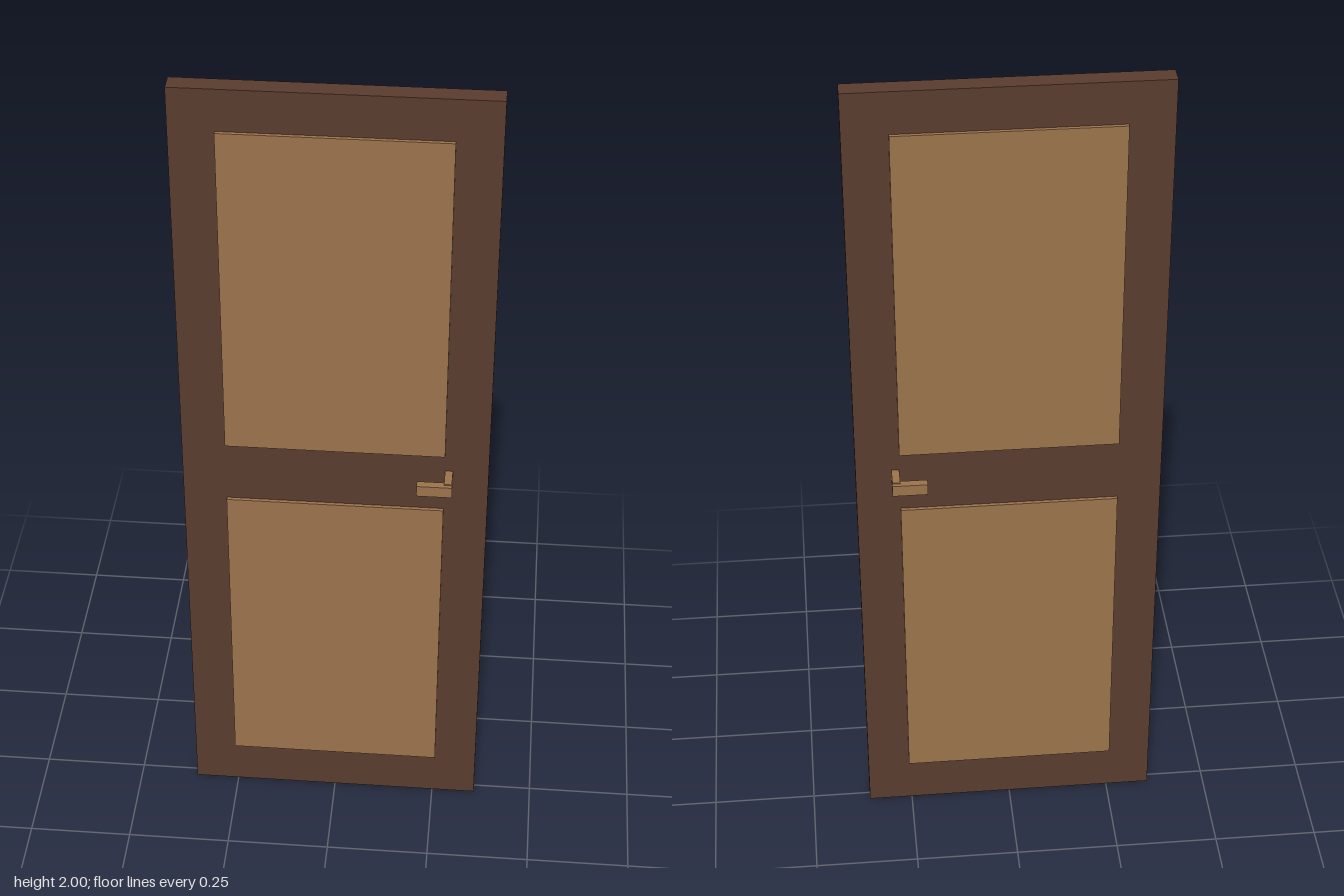
import * as THREE from 'three';

export function createModel() {
  const door = new THREE.Group();
  door.name = 'door';

  const darkWood = new THREE.MeshStandardMaterial({ color: 0x593c2e });
  darkWood.name = 'darkWood';
  const lightWood = new THREE.MeshStandardMaterial({ color: 0x9b734c });
  lightWood.name = 'lightWood';

  // Box given by its lower and upper limits on each axis
  function box(name, material, [x0, x1], [y0, y1], [z0, z1], parent) {
    const mesh = new THREE.Mesh(new THREE.BoxGeometry(x1 - x0, y1 - y0, z1 - z0), material);
    mesh.position.set((x0 + x1) / 2, (y0 + y1) / 2, (z0 + z1) / 2);
    mesh.name = name;
    parent.add(mesh);
  }

  // Door slab
  box('slab', darkWood, [-0.357, 0.357], [0, 2], [-0.023, 0.023], door);

  // Raised panels, standing proud on both faces
  box('lowerPanel', lightWood, [-0.255, 0.255], [0.12, 0.92], [-0.032, 0.032], door);
  box('upperPanel', lightWood, [-0.255, 0.255], [1.077, 1.9], [-0.032, 0.032], door);

  // Lever handle on each face: a stem out of the slab and a bar turned inwards
  for (const [name, side] of [['frontHandle', 1], ['backHandle', -1]]) {
    const handle = new THREE.Group();
    handle.name = name;
    const depth = (a, b) => (side > 0 ? [a, b] : [-b, -a]);
    box('stem', lightWood, [0.256, 0.274], [0.997, 1.031], depth(0.02, 0.074), handle);
    box('lever', lightWood, [0.193, 0.275], [1.0, 1.028], depth(0.064, 0.0835), handle);
    door.add(handle);
  }

  return door;
}
